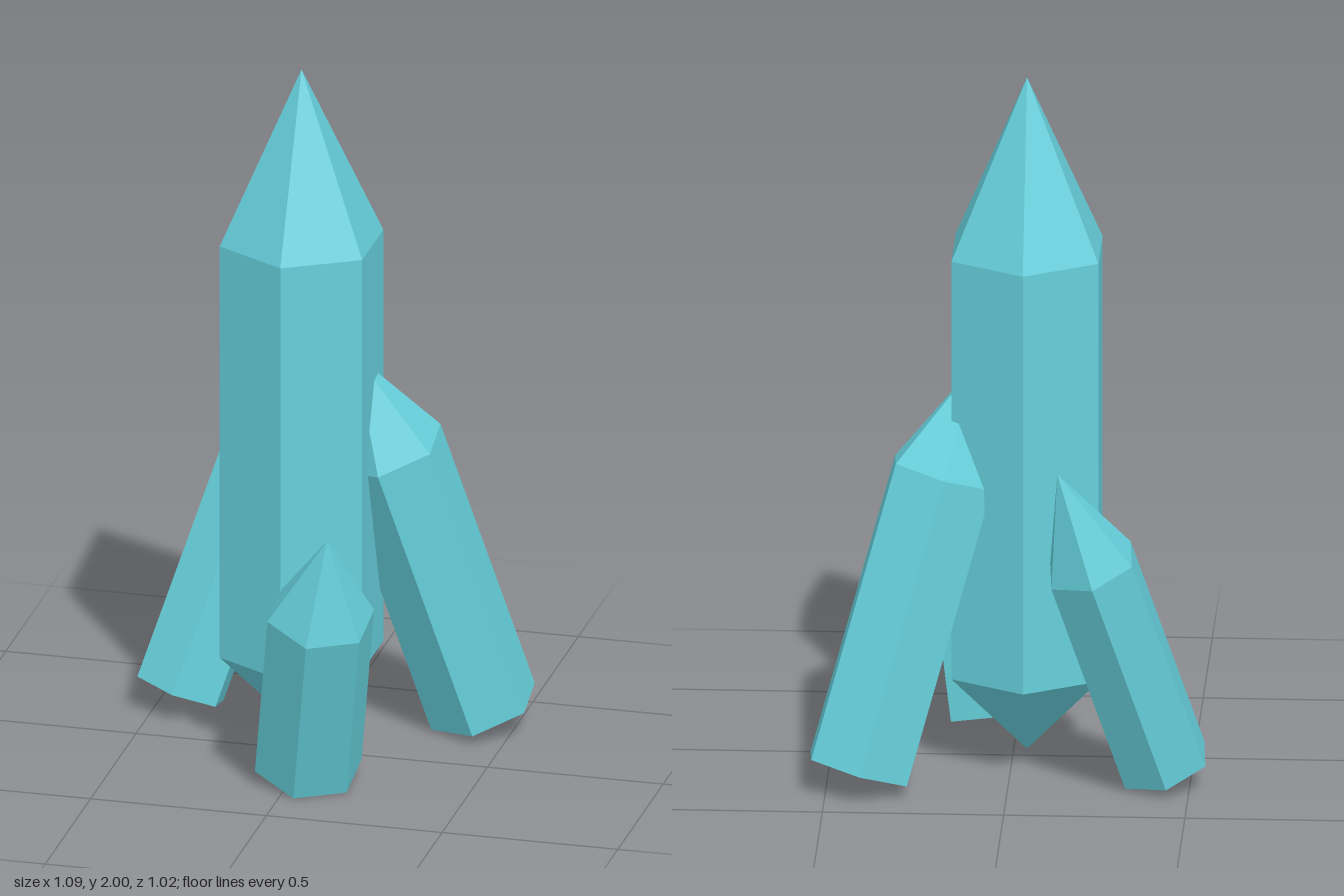
import * as THREE from 'three';

const material = new THREE.MeshStandardMaterial({ color: 0x66d0dc, flatShading: true });

// Six-sided crystal: profile of [radius, height] pairs, standing at base,
// leaning along axis, with one prism edge facing the direction `edge`.
function crystal(name, profile, base, axis, edge) {
  const points = profile.map(([r, h]) => new THREE.Vector2(r, h));
  const mesh = new THREE.Mesh(new THREE.LatheGeometry(points, 6), material);
  const y = new THREE.Vector3(...axis).normalize();
  const z = new THREE.Vector3(...edge);
  z.addScaledVector(y, -z.dot(y)).normalize();
  const x = new THREE.Vector3().crossVectors(y, z);
  mesh.quaternion.setFromRotationMatrix(new THREE.Matrix4().makeBasis(x, y, z));
  mesh.position.set(...base);
  mesh.name = name;
  return mesh;
}

// Side crystal: flat base, straight shaft from base to shoulder, pointed tip.
// tip is the tip length as a fraction of the shaft.
function shard({ name, base, shoulder, radius, tip, edge }) {
  const axis = shoulder.map((v, i) => v - base[i]);
  const length = Math.hypot(...axis);
  const profile = [[0, 0], [radius, 0], [radius, length], [0, length * (1 + tip)]];
  return crystal(name, profile, base, axis, edge);
}

export function createModel() {
  const group = new THREE.Group();
  group.name = 'crystalCluster';

  // Upright central crystal, pointed at both ends
  group.add(crystal('mainCrystal',
    [[0, 0.04], [0.234, 0.28], [0.234, 1.5], [0, 2]],
    [-0.042, 0, -0.05], [0, 1, 0], [0, 0, 1]));

  // Leaning crystals around it
  const shards = [
    { name: 'frontCrystal', base: [0.045, 0.046, 0.213], shoulder: [0.12, 0.556, 0.365],
      radius: 0.152, tip: 0.5, edge: [-0.005, -0.045, 0.145] },
    { name: 'backLeftCrystal', base: [0.41, 0.06, -0.298], shoulder: [0.185, 0.87, -0.132],
      radius: 0.158, tip: 0.36, edge: [0.01, -0.03, 0.157] },
    { name: 'backRightCrystal', base: [-0.43, 0.06, -0.219], shoulder: [-0.235, 0.695, -0.381],
      radius: 0.134, tip: 0.457, edge: [0.01, 0.03, 0.13] },
  ];
  shards.forEach((s) => group.add(shard(s)));
  return group;
}
